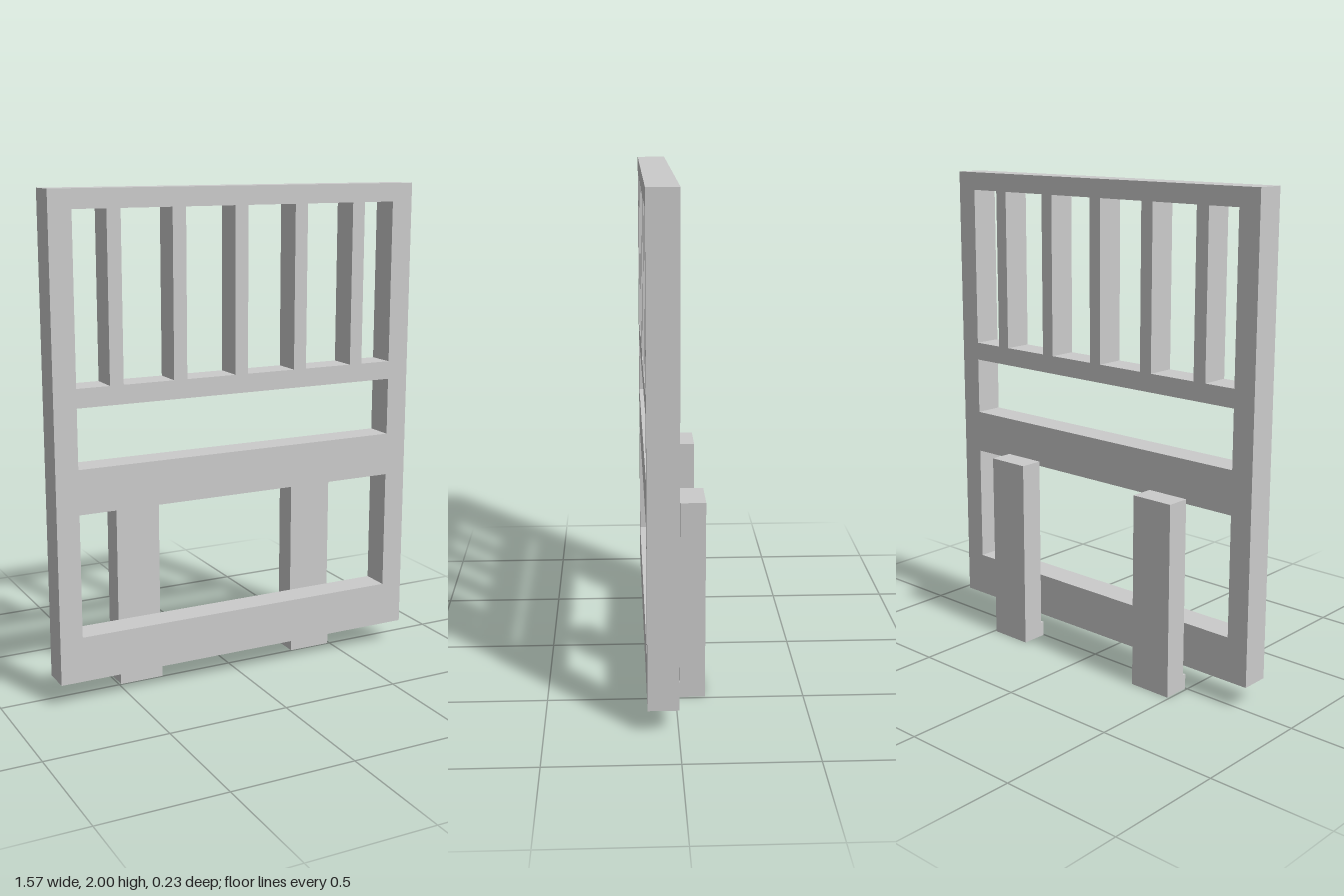
import * as THREE from 'three';

const material = new THREE.MeshStandardMaterial({ color: 0xcccccc, flatShading: true });

// Trace a closed rectangle on a shape or path
function rect(path, x0, y0, x1, y1) {
  path.moveTo(x0, y0);
  path.lineTo(x1, y0);
  path.lineTo(x1, y1);
  path.lineTo(x0, y1);
  path.closePath();
  return path;
}

export function createModel() {
  const group = new THREE.Group();
  const backZ = -0.002, frontZ = 0.116;
  const inner = 0.695;

  // Framed panel with its openings
  const panel = rect(new THREE.Shape(), -0.787, 0.097, 0.787, 2);
  const addOpening = (x0, y0, x1, y1) => panel.holes.push(rect(new THREE.Path(), x0, y0, x1, y1));
  addOpening(-inner, 0.28, inner, 0.775);
  addOpening(-inner, 0.953, inner, 1.19);

  // Upper openings, separated by five upright bars
  const barHalf = 0.028, spacing = 0.266;
  for (let i = 0; i < 6; i++) {
    const x0 = i === 0 ? -inner : (i - 3) * spacing + barHalf;
    const x1 = i === 5 ? inner : (i - 2) * spacing - barHalf;
    addOpening(x0, 1.265, x1, 1.926);
  }
  const panelGeometry = new THREE.ExtrudeGeometry(panel, { depth: frontZ - backZ, bevelEnabled: false });
  panelGeometry.translate(0, 0, backZ);
  const panelMesh = new THREE.Mesh(panelGeometry, material);
  panelMesh.name = 'barredPanel';
  group.add(panelMesh);

  // Rear posts: side profile with a small lip at the foot (profile x becomes -z)
  const profile = new THREE.Shape([
    [0.002, 0], [0.115, 0], [0.115, 0.8], [0.017, 0.8], [0.017, 0.062], [0.002, 0.062],
  ].map(([x, y]) => new THREE.Vector2(x, y)));
  const width = 0.184;
  const postGeometry = new THREE.ExtrudeGeometry(profile, { depth: width, bevelEnabled: false });
  postGeometry.translate(0, 0, -width / 2);
  postGeometry.rotateY(Math.PI / 2);
  for (const side of [-1, 1]) {
    const post = new THREE.Mesh(postGeometry, material);
    post.position.x = side * 0.399;
    post.name = side > 0 ? 'leftRearPost' : 'rightRearPost';
    group.add(post);
  }

  return group;
}
